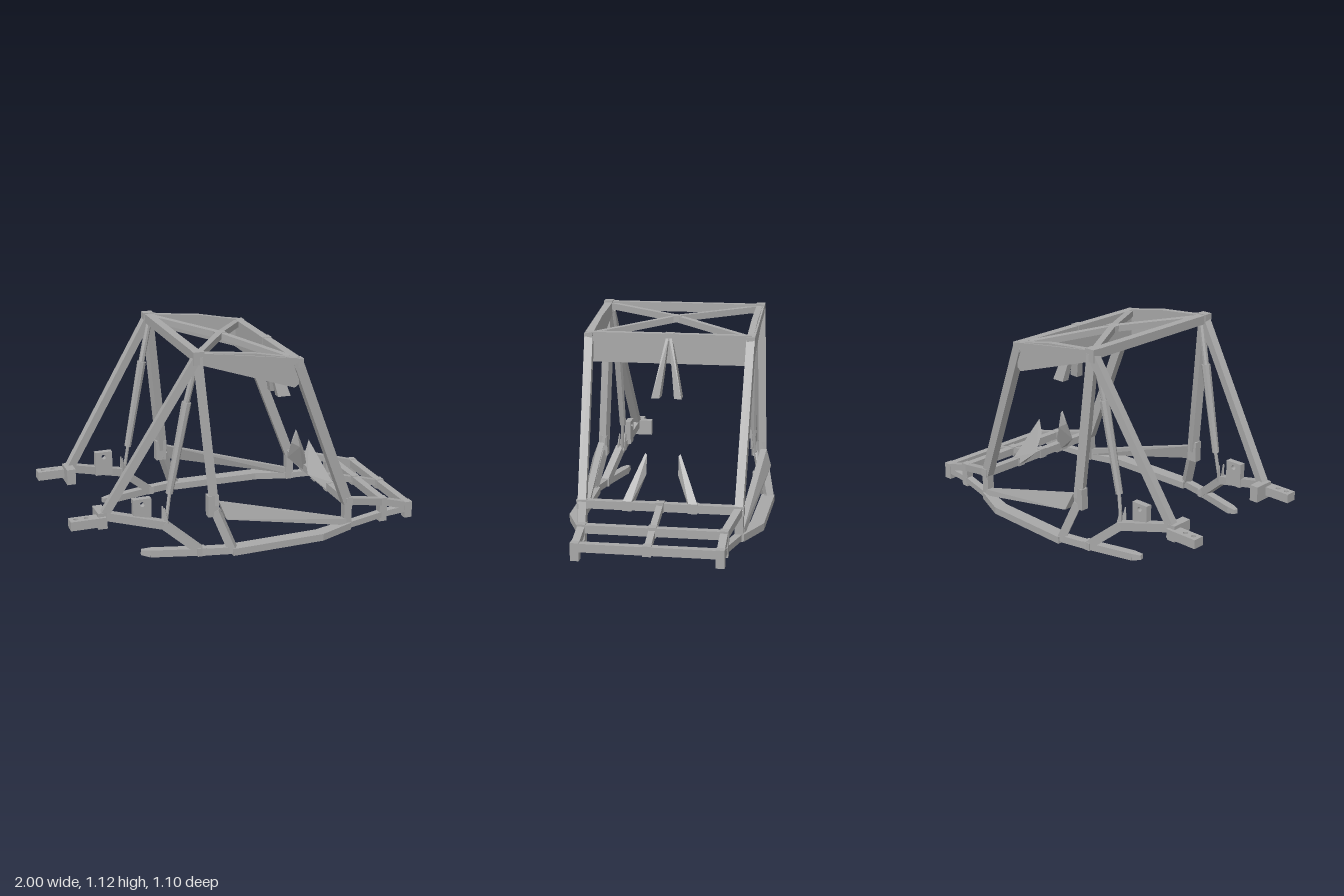
import * as THREE from 'three';
import { ConvexGeometry } from 'three/addons/geometries/ConvexGeometry.js';

const V = (p) => new THREE.Vector3(...p);

export function createModel() {
  const root = new THREE.Group();
  root.name = 'tubularChassis';
  const steel = new THREE.MeshStandardMaterial({ color: 0xa8a8a8, flatShading: true });
  steel.name = 'bare steel';

  function add(name, geo) {
    const m = new THREE.Mesh(geo, steel);
    m.name = name;
    root.add(m);
    return m;
  }

  // Rectangular tube from a to b, optionally tapering to w2 x h2
  function beam(name, a, b, w = 0.05, h = w, w2 = w, h2 = h) {
    const A = V(a), B = V(b), len = A.distanceTo(B);
    const geo = new THREE.BoxGeometry(1, 1, len);
    const p = geo.attributes.position;
    for (let i = 0; i < p.count; i++) {
      const end = p.getZ(i) > 0;
      p.setXY(i, p.getX(i) * (end ? w2 : w), p.getY(i) * (end ? h2 : h));
    }
    const m = add(name, geo);
    m.position.copy(A).add(B).multiplyScalar(0.5);
    m.lookAt(B);
    return m;
  }

  // Round tube from a to b
  function rod(name, a, b, r1, r2 = r1) {
    const A = V(a), B = V(b);
    const m = add(name, new THREE.CylinderGeometry(r2, r1, A.distanceTo(B), 8));
    m.position.copy(A).add(B).multiplyScalar(0.5);
    m.quaternion.setFromUnitVectors(new THREE.Vector3(0, 1, 0), B.sub(A).normalize());
  }

  function box(name, c, s) {
    add(name, new THREE.BoxGeometry(...s)).position.set(...c);
  }

  function hull(name, pts) {
    add(name, new ConvexGeometry(pts.map(V)));
  }

  // Flat plate with round holes, centred in its thickness
  function plate(pts, depth, holes = []) {
    const s = new THREE.Shape(pts.map((p) => new THREE.Vector2(...p)));
    for (const [x, y, r] of holes) {
      s.holes.push(new THREE.Path().absarc(x, y, r, 0, Math.PI * 2, true));
    }
    const g = new THREE.ExtrudeGeometry(s, { depth, bevelEnabled: false, curveSegments: 8 });
    return g.translate(0, 0, -depth / 2);
  }

  // Roof and visor
  beam('roofRearBar', [-0.31, 1.1, -0.44], [-0.31, 1.1, 0.44], 0.045, 0.05);
  beam('roofFrontBar', [0.24, 1.02, -0.44], [0.24, 1.02, 0.44], 0.045, 0.05);
  beam('frontVisor', [0.235, 0.96, -0.43], [0.235, 0.96, 0.43], 0.03, 0.16);
  box('roofFrontJoint', [0.24, 1.025, 0], [0.055, 0.045, 0.05]);
  box('roofCrossJoint', [-0.03, 1.08, 0], [0.06, 0.036, 0.05]);

  // Nose ladder
  const noseBars = [[0.57, 0.175, 0.42], [0.815, 0.12, 0.37], [0.975, 0.075, 0.37]];
  noseBars.forEach(([x, y, z], i) => {
    beam('noseCrossBar', [x, y, -z], [x, y, z], 0.04, 0.045);
    box('noseCenterJoint', [x, y, 0], [0.048, 0.055, 0.045]);
    if (i) {
      const [px, py] = noseBars[i - 1];
      beam('noseCenterRail', [px, py, 0], [x, y, 0], 0.035);
    }
  });

  for (const s of [1, -1]) {
    const P = (x, y, z) => [x, y, z * s];
    const top = P(-0.31, 1.1, 0.44), brow = P(0.245, 1.02, 0.44), cowl = P(0.57, 0.17, 0.42);

    // Roof sides, diagonals and side visor
    beam('roofSideBar', top, brow, 0.045);
    beam('roofDiagonal', top, P(-0.03, 1.08, 0), 0.035);
    beam('roofDiagonal', P(-0.03, 1.08, 0), brow, 0.035);
    const visor = plate([[-0.31, 1.06], [0.23, 0.88], [0.255, 0.9], [0.25, 1.04], [0, 1.09], [-0.3, 1.12]], 0.035);
    add('sideVisor', visor.translate(0, 0, 0.435 * s));
    box('roofRearJoint', P(-0.31, 1.095, 0.44), [0.06, 0.07, 0.05]);
    box('roofFrontCornerJoint', P(0.25, 1.015, 0.44), [0.05, 0.05, 0.045]);

    // Pillars
    beam('frontPillar', brow, cowl, 0.045, 0.055);
    beam('rearStay', top, P(-0.82, 0.26, 0.375), 0.045, 0.045);
    beam('mainPillar', top, P(-0.23, 0.28, 0.465), 0.045, 0.05);
    box('mainPillarBracket', P(-0.24, 0.28, 0.465), [0.06, 0.12, 0.045]);
    beam('mainPillarFoot', P(-0.225, 0.25, 0.47), P(-0.14, 0.02, 0.52), 0.045);
    beam('cowlPost', cowl, P(0.57, 0.01, 0.42), 0.045);
    box('cowlJoint', P(0.575, 0.175, 0.42), [0.04, 0.05, 0.055]);

    // Sill and tapered side guard
    hull('sideGuard', [P(-0.21, 0.3, 0.46), P(-0.21, 0.3, 0.495), P(-0.18, 0.21, 0.48), P(-0.18, 0.21, 0.525),
      P(0.56, 0.075, 0.41), P(0.56, 0.075, 0.445), P(0.56, 0.04, 0.41), P(0.56, 0.04, 0.45)]);
    beam('sillFront', P(0.58, 0.03, 0.425), P(0.37, 0.028, 0.5), 0.05, 0.04, 0.075, 0.04);
    beam('sill', P(0.38, 0.028, 0.498), P(-0.15, 0.025, 0.512), 0.075, 0.04);
    beam('sillRear', P(-0.13, 0.03, 0.515), P(-0.32, 0.03, 0.475), 0.045, 0.04);
    box('sillRearJoint', P(-0.31, 0.03, 0.475), [0.05, 0.045, 0.05]);

    // Nose side rails and posts
    noseBars.forEach(([x, y, z], i) => {
      if (!i) return;
      const [px, py, pz] = noseBars[i - 1];
      beam('noseUpperRail', P(px, py, pz), P(x, y, z), 0.04);
      beam('noseLowerRail', P(px, i === 1 ? 0.03 : 0.045, pz), P(x, i === 1 ? 0.045 : 0.06, z), 0.04, 0.035);
      const h = y + 0.025;
      box('nosePost', P(x, h / 2 + 0.003, z), [0.045, h - 0.005, 0.045]);
    });

    // Rear arm, skid and hanger plate
    beam('rearArm', P(-0.82, 0.27, 0.375), P(-0.49, 0.185, 0.42), 0.045, 0.045);
    beam('rearArmKnee', P(-0.5, 0.19, 0.42), P(-0.31, 0.03, 0.475), 0.045, 0.045);
    beam('rearSkid', P(-0.31, 0.03, 0.475), P(-0.57, 0.03, 0.405), 0.045, 0.04);
    beam('rearSkidTip', P(-0.57, 0.03, 0.405), P(-0.62, 0.035, 0.392), 0.045, 0.04, 0.025, 0.025);
    const hanger = plate([[-0.66, 0.2], [-0.56, 0.2], [-0.56, 0.34], [-0.66, 0.34]], 0.035, [[-0.61, 0.31, 0.014]]);
    add('hangerPlate', hanger.translate(0, 0, 0.385 * s));

    // Rear stub and drilled bumper tab
    box('rearStub', P(-0.825, 0.245, 0.34), [0.05, 0.09, 0.12]);
    const tab = plate([[-1, -0.032], [-0.81, -0.032], [-0.81, 0.032], [-1, 0.032]], 0.05,
      [[-0.965, 0, 0.013], [-0.91, 0, 0.013]]);
    add('bumperTab', tab.rotateX(-Math.PI / 2).translate(0, 0.245, 0.385 * s));

    // Shock absorber with forked lower mount
    rod('shockUpper', P(-0.31, 1.07, 0.42), P(-0.365, 0.83, 0.405), 0.017);
    rod('shockBody', P(-0.36, 0.85, 0.405), P(-0.458, 0.35, 0.395), 0.026, 0.02);
    rod('shockShaft', P(-0.455, 0.36, 0.395), P(-0.48, 0.2, 0.405), 0.01);
    for (const d of [-0.018, 0.018]) {
      beam('shockMount', P(-0.485, 0.18, 0.41 + d), P(-0.495, 0.28, 0.405 + d), 0.01, 0.03, 0.006, 0.006);
    }

    // Windscreen braces, upper and lower
    hull('upperBrace', [P(0.225, 1.03, 0), P(0.225, 1.03, 0.015), P(0.265, 1.03, 0), P(0.265, 1.03, 0.015),
      P(0.29, 0.71, 0.035), P(0.29, 0.71, 0.08), P(0.365, 0.71, 0.082), P(0.35, 0.71, 0.04)]);
    hull('lowerBrace', [P(0.55, 0.16, 0.15), P(0.55, 0.16, 0.2), P(0.59, 0.19, 0.155), P(0.585, 0.2, 0.2),
      P(0.45, 0.25, 0.15), P(0.45, 0.36, 0.1), P(0.5, 0.33, 0.085), P(0.475, 0.44, 0.095), P(0.48, 0.43, 0.085)]);
    box('lowerBraceClamp', P(0.57, 0.175, 0.175), [0.048, 0.052, 0.05]);
  }
  return root;
}
